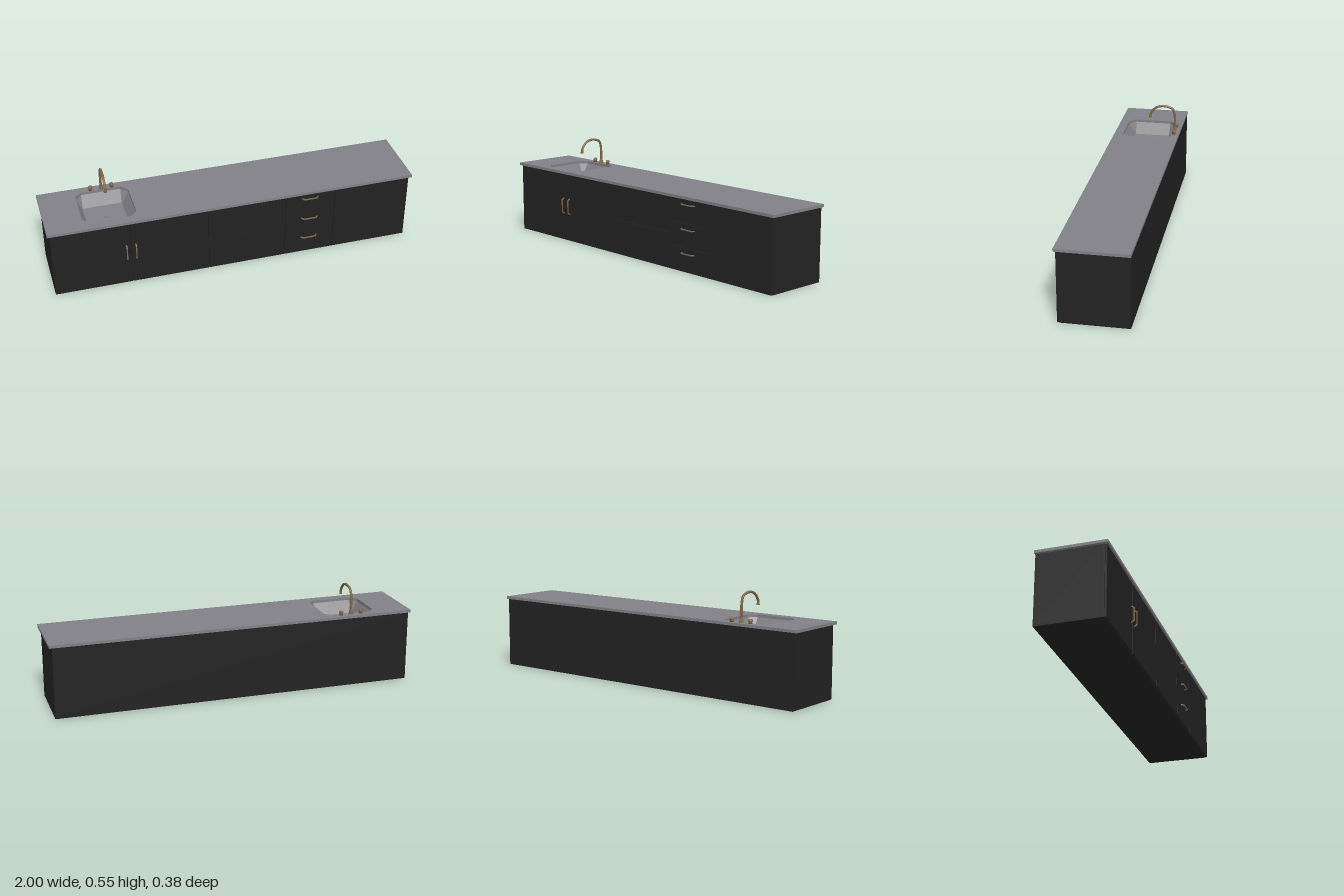
import * as THREE from 'three';

const black = new THREE.MeshStandardMaterial({ color: 0x222222 });
black.name = 'cabinet black';
const grey = new THREE.MeshStandardMaterial({ color: 0x808086 });
grey.name = 'stone grey';
const sinkGrey = new THREE.MeshStandardMaterial({ color: 0x828286, side: THREE.DoubleSide, flatShading: true });
sinkGrey.name = 'sink grey';
const bronze = new THREE.MeshStandardMaterial({ color: 0x80684a });
bronze.name = 'bronze';

function add(parent, name, geometry, material, x = 0, y = 0, z = 0) {
  const mesh = new THREE.Mesh(geometry, material);
  mesh.name = name;
  mesh.position.set(x, y, z);
  parent.add(mesh);
  return mesh;
}

// Box given by its minimum and maximum corners
function block(parent, name, material, [x0, y0, z0], [x1, y1, z1]) {
  return add(parent, name, new THREE.BoxGeometry(x1 - x0, y1 - y0, z1 - z0), material,
    (x0 + x1) / 2, (y0 + y1) / 2, (z0 + z1) / 2);
}

// Rectangle with cut corners, as [x, z] points
function cutRect(x0, x1, z0, z1, c) {
  return [[x0 + c, z0], [x1 - c, z0], [x1, z0 + c], [x1, z1 - c],
    [x1 - c, z1], [x0 + c, z1], [x0, z1 - c], [x0, z0 + c]];
}

// Bow handle: a flat bar with slanted legs, bowing towards +z
function handle(parent, name, x, y, vertical) {
  const h = 0.048, t = 0.005, d = 0.018;
  const shape = new THREE.Shape([[-h, 0], [-h + 0.01, d], [h - 0.01, d], [h, 0],
    [h - t, 0], [h - 0.01 - t, d - t], [-h + 0.01 + t, d - t], [-h + t, 0]]
    .map(p => new THREE.Vector2(...p)));
  const geo = new THREE.ExtrudeGeometry(shape, { depth: 0.006, bevelEnabled: false });
  geo.translate(0, 0, -0.003);
  geo.rotateX(Math.PI / 2);
  if (vertical) geo.rotateZ(Math.PI / 2);
  add(parent, name, geo, bronze, x, y, 0.172);
}

export function createModel() {
  const model = new THREE.Group();
  model.name = 'kitchenCounter';

  // Cabinet carcass, open at the top to take the basin
  const X = 0.985, H = 0.385, B = -0.188, F = 0.163, t = 0.01;
  const carcass = new THREE.Group();
  carcass.name = 'cabinet';
  model.add(carcass);
  block(carcass, 'bottomPanel', black, [-X, 0, B], [X, t, F]);
  block(carcass, 'backPanel', black, [-X, t, B], [X, H, B + t]);
  block(carcass, 'frontPanel', black, [-X, t, F - t], [X, H, F]);
  for (const s of [-1, 1]) {
    add(carcass, s > 0 ? 'leftPanel' : 'rightPanel',
      new THREE.BoxGeometry(t, H - t, F - B - 2 * t), black, s * (X - t / 2), (H + t) / 2, (F + B) / 2);
  }

  // Doors and drawer fronts with narrow gaps
  const fronts = [
    ['sinkDoor', -X, -0.568, 0, H], ['sinkDoor', -0.568, -0.147, 0, H],
    ['applianceLower', -0.147, 0.281, 0, 0.193], ['applianceUpper', -0.147, 0.281, 0.193, H],
    ['drawer', 0.281, 0.559, 0, 0.128], ['drawer', 0.281, 0.559, 0.128, 0.257],
    ['drawer', 0.281, 0.559, 0.257, H], ['endDoor', 0.559, X, 0, H],
  ];
  const g = 0.0015;
  for (const [name, x0, x1, y0, y1] of fronts) {
    block(model, name, black, [x0 + g, y0 + g, 0.1645], [x1 - g, y1 - g, 0.173]);
  }

  // Handles
  for (const x of [-0.593, -0.543]) handle(model, 'doorHandle', x, 0.201, true);
  for (const y of [0.101, 0.228, 0.358]) handle(model, 'drawerHandle', 0.418, y, false);

  // Worktop with sink opening
  const rim = cutRect(-0.803, -0.517, -0.147, 0.132, 0.036);
  const top = new THREE.Shape([[-1, -0.182], [1, -0.182], [1, 0.19], [-1, 0.19]]
    .map(p => new THREE.Vector2(...p)));
  top.holes.push(new THREE.Path(rim.map(([x, z]) => new THREE.Vector2(x, -z))));
  const topGeo = new THREE.ExtrudeGeometry(top, { depth: 0.015, bevelEnabled: false });
  topGeo.rotateX(-Math.PI / 2);
  add(model, 'worktop', topGeo, grey, 0, H, 0);

  // Basin: sloping walls from the rim loop to the floor loop
  const floor = cutRect(-0.77, -0.555, -0.11, 0.095, 0.002);
  const floorY = 0.32, pos = [];
  rim.forEach((p, i) => {
    const j = (i + 1) % rim.length;
    const a = [p[0], H, p[1]], b = [rim[j][0], H, rim[j][1]];
    const c = [floor[j][0], floorY, floor[j][1]], d = [floor[i][0], floorY, floor[i][1]];
    const m = [-0.6625, floorY, -0.0075];
    pos.push(...a, ...b, ...c, ...a, ...c, ...d, ...d, ...c, ...m);
  });
  // Corners run so that every face looks into the bowl
  for (let i = 0; i < pos.length; i += 9) {
    const second = pos.slice(i + 3, i + 6);
    for (let k = 0; k < 3; k++) {
      pos[i + 3 + k] = pos[i + 6 + k];
      pos[i + 6 + k] = second[k];
    }
  }
  const basin = new THREE.BufferGeometry();
  basin.setAttribute('position', new THREE.Float32BufferAttribute(pos, 3));
  basin.computeVertexNormals();
  add(model, 'basin', basin, sinkGrey);
  add(model, 'drain', new THREE.CylinderGeometry(0.014, 0.014, 0.003, 8), grey, -0.655, floorY + 0.0015, -0.005);

  // Tap: flared base, curved spout and two knobs
  const tap = new THREE.Group();
  tap.name = 'tap';
  tap.position.set(-0.655, 0.4, -0.158);
  model.add(tap);
  add(tap, 'tapBase', new THREE.CylinderGeometry(0.008, 0.012, 0.024, 10), bronze, 0, 0.012, 0);
  const path = new THREE.CatmullRomCurve3([[0, 0.01], [0, 0.06], [0.002, 0.098], [0.013, 0.131],
    [0.038, 0.143], [0.074, 0.147], [0.106, 0.139], [0.131, 0.118], [0.144, 0.095], [0.145, 0.074]]
    .map(([z, y]) => new THREE.Vector3(0, y, z)));
  add(tap, 'spout', new THREE.TubeGeometry(path, 28, 0.0068, 10), bronze);
  add(tap, 'nozzle', new THREE.CylinderGeometry(0.0072, 0.0085, 0.014, 10), bronze, 0, 0.081, 0.145);
  const knob = new THREE.LatheGeometry([[0, 0], [0.011, 0], [0.008, 0.008], [0.012, 0.013],
    [0.011, 0.02], [0.007, 0.024], [0, 0.024]].map(p => new THREE.Vector2(...p)), 10);
  for (const x of [-0.057, 0.057]) add(tap, 'knob', knob, bronze, x, 0, -0.002);

  return model;
}
